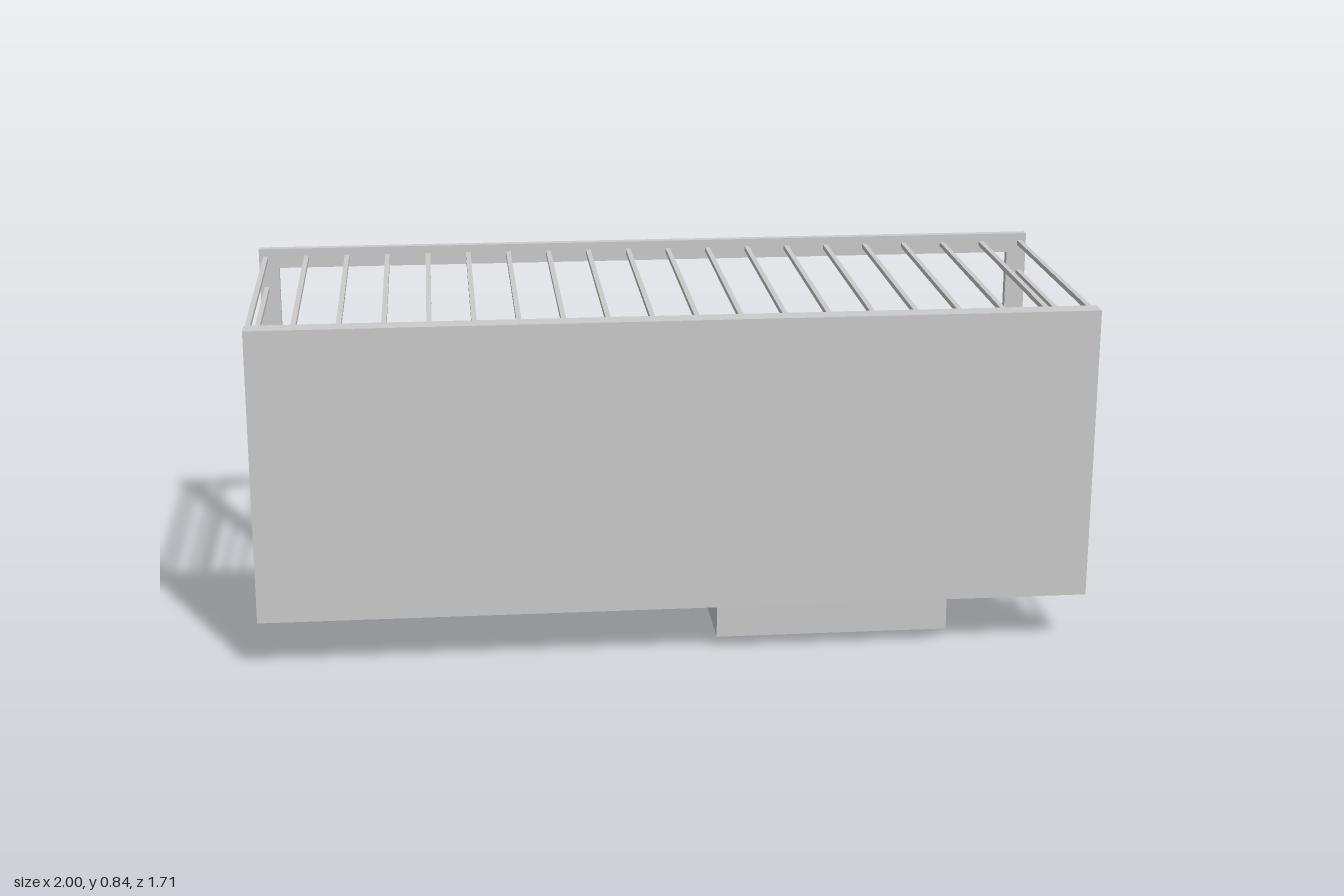
import * as THREE from 'three';

const grey = new THREE.MeshStandardMaterial({ color: 0xcccccc, flatShading: true });
const sheet = new THREE.MeshStandardMaterial({ color: 0xcccccc, flatShading: true, side: THREE.DoubleSide });

function add(parent, name, geometry, material = grey) {
  const mesh = new THREE.Mesh(geometry, material);
  mesh.name = name;
  parent.add(mesh);
  return mesh;
}

function box(parent, name, x0, x1, y0, y1, z0, z1) {
  const mesh = add(parent, name, new THREE.BoxGeometry(x1 - x0, y1 - y0, z1 - z0));
  mesh.position.set((x0 + x1) / 2, (y0 + y1) / 2, (z0 + z1) / 2);
}

// Thin upright sheet following a path of [x, z] points
function curtain(path, y0, y1) {
  const pos = [];
  for (let i = 0; i + 1 < path.length; i++) {
    const [ax, az] = path[i], [bx, bz] = path[i + 1];
    pos.push(ax, y0, az, bx, y0, bz, bx, y1, bz, ax, y0, az, bx, y1, bz, ax, y1, az);
  }
  const g = new THREE.BufferGeometry();
  g.setAttribute('position', new THREE.Float32BufferAttribute(pos, 3));
  g.computeVertexNormals();
  return g;
}

const rect = (x0, x1, z0, z1) => [[x0, z0], [x1, z0], [x1, z1], [x0, z1], [x0, z0]];

// Level sheet with an optional hole, outlines given as [x, z]
function level(outline, hole, y) {
  const toPoints = (list) => list.slice(0, -1).map(([x, z]) => new THREE.Vector2(x, -z));
  const shape = new THREE.Shape(toPoints(outline));
  if (hole) shape.holes.push(new THREE.Path(toPoints(hole)));
  return new THREE.ShapeGeometry(shape).rotateX(-Math.PI / 2).translate(0, y, 0);
}

// Ledge around a sunken floor
function basin(parent, name, x0, x1, z0, z1, ledgeY, floorY) {
  const group = new THREE.Group();
  group.name = name;
  const m = 0.044;
  const inner = rect(x0 + m, x1 - m, z0 + m, z1 - m);
  add(group, 'ledge', level(rect(x0, x1, z0, z1), inner, ledgeY), sheet);
  add(group, 'step', curtain(inner, floorY, ledgeY), sheet);
  add(group, 'floor', level(inner, null, floorY), sheet);
  parent.add(group);
}

// U-shaped frame with its rear edges chamfered
function frameGeometry() {
  const w = 1, top = 0.842, bottom = 0.127, t = 0.05, c = 0.008, depth = 0.028;
  const shape = new THREE.Shape([
    [-w, bottom], [-w + t, bottom], [-w + t, top - t], [w - t, top - t],
    [w - t, bottom], [w, bottom], [w, top], [-w, top],
  ].map(([x, y]) => new THREE.Vector2(x, y)));
  const g = new THREE.ExtrudeGeometry(shape, { depth, steps: 4, bevelEnabled: false });
  const p = g.attributes.position;
  for (let i = 0; i < p.count; i++) {
    if (p.getZ(i) > 0.001) continue;
    const x = p.getX(i), y = p.getY(i);
    const outer = Math.abs(x) > w - t / 2;
    p.setX(i, x + Math.sign(x) * (outer ? -c : c));
    if (y > bottom + 0.1) p.setY(i, y + (y > top - t / 2 ? -c : c));
  }
  g.computeVertexNormals();
  return g.translate(0, 0, 0.064);
}

export function createModel() {
  const model = new THREE.Group();

  // Solid front wall and open rear frame
  box(model, 'frontWall', -0.988, 0.988, 0.127, 0.835, 0.806, 0.854);
  add(model, 'rearFrame', frameGeometry());

  // Roof bars
  const roof = new THREE.Group();
  roof.name = 'roofBars';
  const r = 0.006, barX = 0.983, zBack = 0.085, zFront = 0.81;
  for (let i = 0; i < 20; i++) {
    const x = -barX + (i * 2 * barX) / 19;
    box(roof, 'roofBar', x - r, x + r, 0.817 - r, 0.817 + r, zBack, zFront);
  }
  model.add(roof);

  // Side rails
  for (const side of [-1, 1]) {
    const rails = new THREE.Group();
    rails.name = side > 0 ? 'leftRails' : 'rightRails';
    for (let i = 0; i < 6; i++) {
      const x = side * barX, y = 0.136 + i * 0.1202;
      box(rails, 'rail', x - r, x + r, y - r, y + r, zBack, zFront);
    }
    model.add(rails);
  }

  // L-shaped tray: thin rim, two basins at different levels, riser between them
  const x0 = -0.662, xm = 0.1, x1 = 0.66, zb = -0.854, zm = 0.083, zf = 0.804;
  const tray = new THREE.Group();
  tray.name = 'tray';
  add(tray, 'rim', curtain(
    [[x0, zb], [x1, zb], [x1, zf], [xm, zf], [xm, zm], [x0, zm], [x0, zb]], 0.03, 0.127), sheet);
  basin(tray, 'leftBasin', xm, x1, zb, zf, 0.06, 0.032);
  basin(tray, 'rightBasin', x0, xm, zb, zm, 0.03, 0);
  add(tray, 'riser', curtain([[xm, zb], [xm, zm]], 0.03, 0.06), sheet);
  model.add(tray);

  return model;
}
